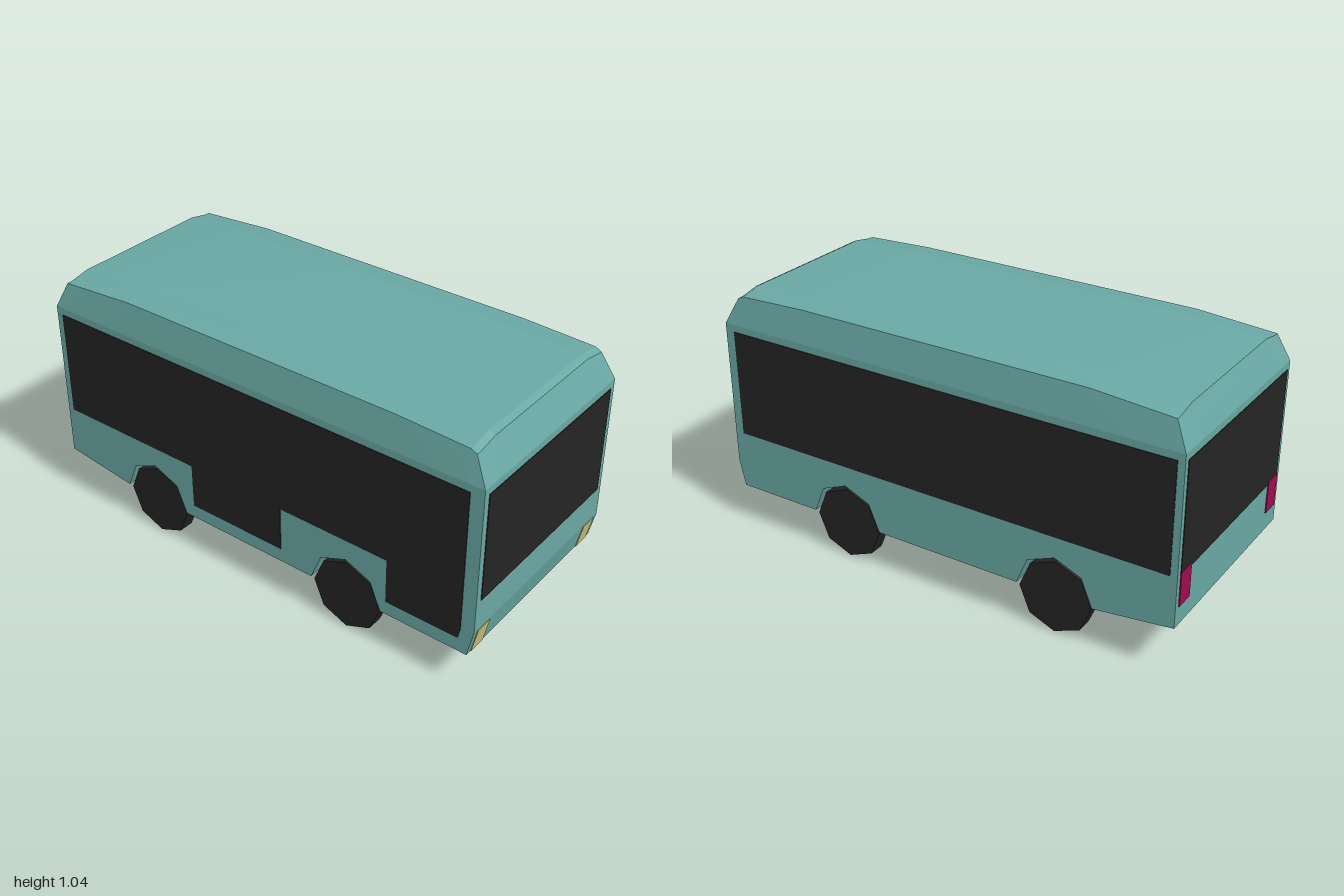
import * as THREE from 'three';
import { mergeGeometries, toCreasedNormals } from 'three/addons/utils/BufferGeometryUtils.js';

const paint = (name, color) => {
  const m = new THREE.MeshStandardMaterial({ color });
  m.name = name;
  return m;
};

const HALF = 0.435;      // half width of the body
const WELL = 0.345;      // inner side of the wheel wells
const SHOULDER = 0.89;   // where the walls start to lean in
const AXLES = [-0.515, 0.44];

// Side profile of the walls, with or without wheel arches
function wallProfile(arches) {
  const pts = [[-1, SHOULDER], [-1, 0.205], [-0.675, 0.165]];
  if (arches) {
    for (const cx of AXLES) {
      for (let i = 0; i <= 4; i++) {
        const a = Math.PI * (1 - i / 4);
        pts.push([cx + 0.16 * Math.cos(a), 0.165 + 0.16 * Math.sin(a)]);
      }
    }
  }
  pts.push([0.975, 0.165], [1, 0.28], [1, SHOULDER]);
  return new THREE.Shape(pts.map(([x, y]) => new THREE.Vector2(x, y)));
}

function slab(shape, z0, z1) {
  const g = new THREE.ExtrudeGeometry(shape, { depth: z1 - z0, bevelEnabled: false });
  g.translate(0, 0, z0);
  g.deleteAttribute('uv');
  g.deleteAttribute('normal');
  return g;
}

// Crowned roof with its leaning skirt, as a grid of heights
function roofGeometry() {
  const xs = [-1, -0.95, -0.62, 0.62, 0.92, 0.945, 1];
  const heights = [0, 1.013, 1.037, 1.037, 1.025, 1.013, 0];
  const zs = [-HALF, -0.41, -0.385, -0.305, 0.305, 0.385, 0.41, HALF];
  const drops = [0, 0.017, 0.016, 0, 0, 0.016, 0.017, 0];
  const point = (i, j) => {
    const rim = i === 0 || j === 0 || i === xs.length - 1 || j === zs.length - 1;
    return [xs[i], rim ? SHOULDER : heights[i] - drops[j], zs[j]];
  };
  const pos = [];
  for (let i = 0; i < xs.length - 1; i++) {
    for (let j = 0; j < zs.length - 1; j++) {
      const a = point(i, j), b = point(i, j + 1), c = point(i + 1, j + 1), d = point(i + 1, j);
      // Diagonals run towards the corners so that they are mitred
      const mitre = (i < 3) === (j < 3);
      pos.push(...(mitre ? [a, b, c, a, c, d] : [a, b, d, b, c, d]).flat());
    }
  }
  const g = new THREE.BufferGeometry();
  g.setAttribute('position', new THREE.Float32BufferAttribute(pos, 3));
  return g;
}

export function createModel() {
  const bus = new THREE.Group();
  bus.name = 'bus';
  const teal = paint('tealPaint', 0x69a8a4);
  const black = paint('blackGlassAndRubber', 0x242424);
  const yellow = paint('headlightYellow', 0xd0c67c);
  const red = paint('tailLightRed', 0xa00a50);

  const add = (name, geometry, material, x = 0, y = 0, z = 0) => {
    const mesh = new THREE.Mesh(geometry, material);
    mesh.name = name;
    mesh.position.set(x, y, z);
    bus.add(mesh);
    return mesh;
  };

  // Body: core, two outer slabs with arches, and the roof
  const body = mergeGeometries([
    slab(wallProfile(false), -WELL, WELL),
    slab(wallProfile(true), WELL, HALF),
    slab(wallProfile(true), -HALF, -WELL),
    roofGeometry(),
  ]);
  add('body', toCreasedNormals(body, 0.15), teal);

  // Door side: window band with two doors reaching down
  const band = new THREE.Shape([
    [-0.97, 0.86], [-0.97, 0.415], [-0.31, 0.415], [-0.31, 0.225], [0.135, 0.225],
    [0.135, 0.415], [0.625, 0.415], [0.625, 0.225], [0.935, 0.225], [0.945, 0.27], [0.945, 0.86],
  ].map(([x, y]) => new THREE.Vector2(x, y)));
  add('windowsAndDoors', new THREE.ExtrudeGeometry(band, { depth: 0.004, bevelEnabled: false }),
    black, 0, 0, HALF - 0.001);

  // Plain window band on the other side, and the two end windows
  add('sideWindows', new THREE.BoxGeometry(1.93, 0.447, 0.006), black, -0.007, 0.637, -HALF);
  add('windscreen', new THREE.BoxGeometry(0.006, 0.45, 0.816), black, 1, 0.636, 0);
  add('rearWindow', new THREE.BoxGeometry(0.006, 0.45, 0.826), black, -1, 0.636, 0);

  for (const side of [1, -1]) {
    const label = side > 0 ? 'Near' : 'Far';
    // Lamps
    const lamp = add('headlight' + label, new THREE.BoxGeometry(0.006, 0.112, 0.076), yellow,
      0.9872, 0.221, side * 0.371);
    lamp.rotation.z = -Math.atan2(0.025, 0.115);
    add('tailLight' + label, new THREE.BoxGeometry(0.009, 0.14, 0.08), red, -1, 0.355, side * 0.373);

    // Eight-sided wheels
    AXLES.forEach((x, i) => {
      const tyre = new THREE.CylinderGeometry(0.152, 0.152, 0.065, 8).toNonIndexed();
      tyre.rotateX(Math.PI / 2);
      add((i ? 'frontWheel' : 'rearWheel') + label, toCreasedNormals(tyre, 0.3), black,
        x, 0.152, side * 0.3925);
    });
  }
  return bus;
}
